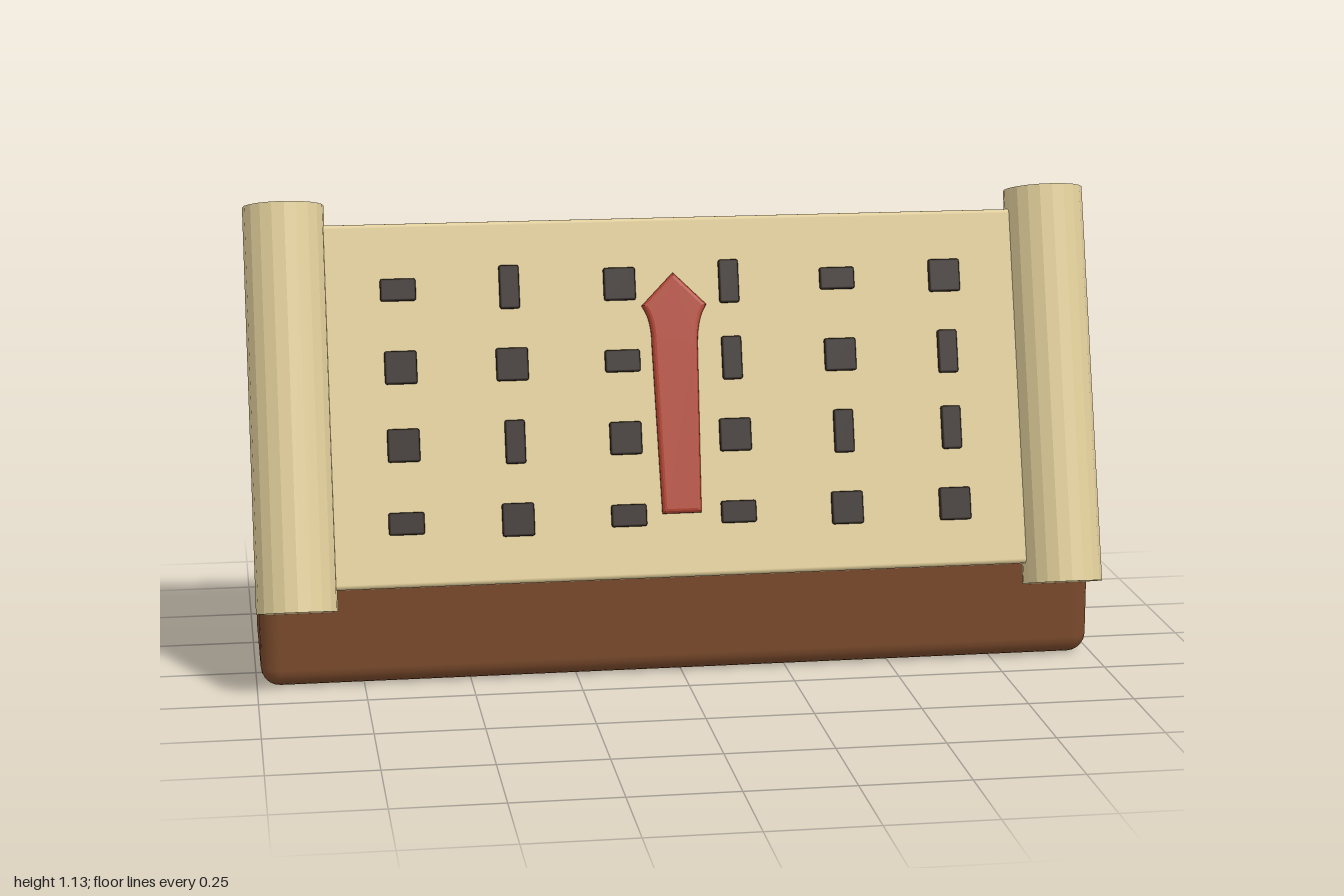
import * as THREE from 'three';
import { RoundedBoxGeometry } from 'three/addons/geometries/RoundedBoxGeometry.js';

const mat = (color, flatShading = false) => new THREE.MeshStandardMaterial({ color, flatShading });

export function createModel() {
  const model = new THREE.Group();
  const wood = mat(0x7a4a2c);
  const paper = mat(0xdfcc98);
  const ink = mat(0x2e241d);
  const red = mat(0xb04432);

  const add = (parent, name, geometry, material, x = 0, y = 0, z = 0) => {
    const mesh = new THREE.Mesh(geometry, material);
    mesh.name = name;
    mesh.position.set(x, y, z);
    parent.add(mesh);
    return mesh;
  };

  // Wooden base block with rounded edges
  add(model, 'base', new RoundedBoxGeometry(1.98, 0.345, 0.431, 3, 0.045), wood, 0, 0.1725, -0.0725);

  // Scroll leaning back on the base
  const scroll = new THREE.Group();
  scroll.name = 'scroll';
  scroll.position.set(0, 0.65, 0.06);
  scroll.rotation.x = -0.3;
  model.add(scroll);

  add(scroll, 'sheet', new RoundedBoxGeometry(1.74, 0.846, 0.045, 2, 0.01), paper);

  // Rolled ends
  const rollGeometry = new THREE.CylinderGeometry(0.094, 0.094, 0.943, 20);
  const rollMaterial = mat(0xdfcc98, true);
  for (const side of [-1, 1]) {
    add(scroll, side > 0 ? 'leftRoll' : 'rightRoll', rollGeometry, rollMaterial, side * 0.905, 0, 0);
  }

  // Raised ink marks: W wide, T tall, S square
  const sizes = { W: [0.083, 0.052], T: [0.047, 0.102], S: [0.075, 0.077] };
  const marks = {};
  for (const key in sizes) {
    marks[key] = new RoundedBoxGeometry(sizes[key][0], sizes[key][1], 0.024, 1, 0.005);
  }
  const inkMarks = new THREE.Group();
  inkMarks.name = 'inkMarks';
  scroll.add(inkMarks);
  ['WTSTWS', 'SSWTST', 'STSSTT', 'WSWWSS'].forEach((row, r) => {
    [...row].forEach((key, c) => {
      add(inkMarks, 'inkMark', marks[key], ink, (c - 2.5) * 0.259, 0.267 - r * 0.181, 0.022);
    });
  });

  // Red pointed ribbon down the middle, with softened edges
  const outline = new THREE.Shape();
  outline.moveTo(-0.038, -0.265);
  outline.lineTo(0.034, -0.265);
  outline.lineTo(0.042, 0.12);
  outline.quadraticCurveTo(0.044, 0.18, 0.064, 0.212);
  outline.lineTo(0, 0.276);
  outline.lineTo(-0.064, 0.212);
  outline.quadraticCurveTo(-0.044, 0.18, -0.046, 0.12);
  outline.closePath();
  const ribbon = new THREE.ExtrudeGeometry(outline, {
    depth: 0.01, bevelThickness: 0.01, bevelSize: 0.01, bevelSegments: 3, curveSegments: 6,
  });
  add(scroll, 'ribbon', ribbon, red, -0.003, 0, 0.02);

  return model;
}
